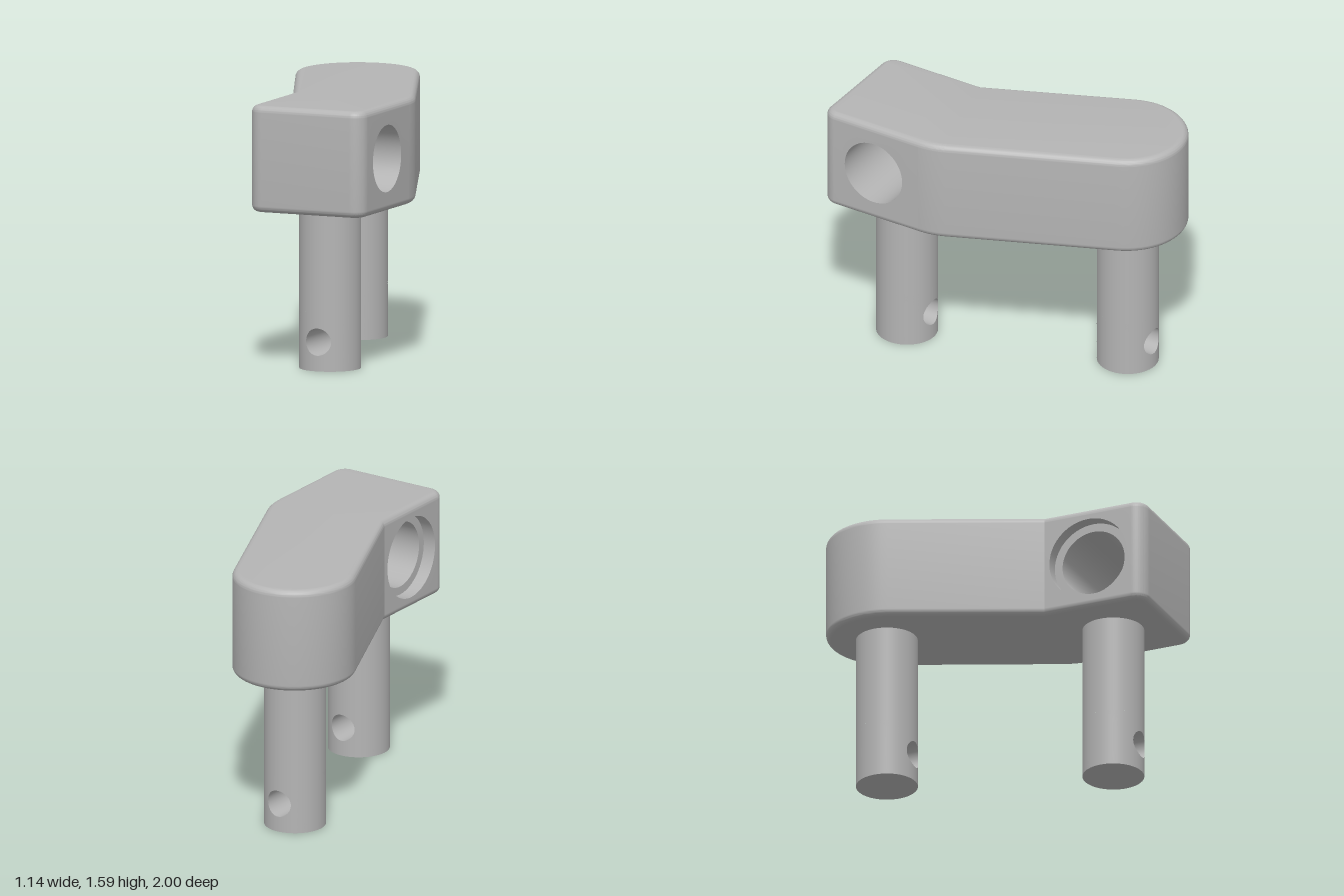
import * as THREE from 'three';
import { mergeGeometries, toCreasedNormals } from 'three/addons/utils/BufferGeometryUtils.js';
import { ParametricGeometry } from 'three/addons/geometries/ParametricGeometry.js';

const PI = Math.PI;
const metal = new THREE.MeshStandardMaterial({ color: 0xb4b4b4 });
metal.name = 'grey metal';

// Body dimensions
const X0 = -0.172, X1 = 0.57, Y0 = 0.95, Y1 = 1.585;
const FILLET = 0.04, CORNER = 0.085, BEND = 0.44, BEND_Z = 0.335, TILT = 0.405, INNER_Z = 0.36;
const BORE = { y: 1.267, z: 0.642, r: 0.2, counterR: 0.25, counterX: X0 + 0.08 };

function mesh(name, geometry) {
  const m = new THREE.Mesh(geometry, metal);
  m.name = name;
  return m;
}

function positionsOnly(geometry) {
  const g = geometry.index ? geometry.toNonIndexed() : geometry;
  return new THREE.BufferGeometry().setAttribute('position', g.attributes.position);
}

// Flat side wall between z0 and z1 with a round opening; side is +1 or -1
function sidePanel(x, z0, z1, r, side) {
  const a = -side * z0, b = -side * z1, lo = Y0 + FILLET, hi = Y1 - FILLET;
  const s = new THREE.Shape();
  s.moveTo(a, lo).lineTo(b, lo).lineTo(b, hi).lineTo(a, hi);
  const hole = new THREE.Path();
  hole.absarc(-side * BORE.z, BORE.y, r, 0, 2 * PI, true);
  s.holes.push(hole);
  return new THREE.ShapeGeometry(s, 36).rotateY(side * PI / 2).translate(x, 0, 0);
}

// Bent arm: filleted extrusion whose two flat walls are swapped for pierced panels
function bodyGeometry() {
  const s = new THREE.Shape();
  s.absarc(X1 - CORNER, -1 + CORNER, CORNER, -PI / 2, 0);
  s.absarc(X1 - BEND, -BEND_Z, BEND, 0, TILT);
  s.absarc(-0.205, 0.633, 0.367, TILT, PI + TILT);
  s.lineTo(X0, -INNER_Z);
  s.absarc(X0 + CORNER, -1 + CORNER, CORNER, PI, 1.5 * PI);
  const solid = new THREE.ExtrudeGeometry(s, {
    depth: Y1 - Y0 - 2 * FILLET, curveSegments: 16, bevelThickness: FILLET,
    bevelSize: FILLET, bevelOffset: -FILLET, bevelSegments: 10,
  }).rotateX(-PI / 2).translate(0, Y0 + FILLET, 0);

  const p = solid.attributes.position, kept = [];
  const onWall = (i, x) => [0, 1, 2].every(k => Math.abs(p.getX(i + k) - x) < 1e-5);
  for (let i = 0; i < p.count; i += 3) {
    if (onWall(i, X0) || onWall(i, X1)) continue;
    for (let k = 0; k < 3; k++) kept.push(p.getX(i + k), p.getY(i + k), p.getZ(i + k));
  }
  const shell = new THREE.BufferGeometry();
  shell.setAttribute('position', new THREE.Float32BufferAttribute(kept, 3));
  const panels = [
    sidePanel(X1, BEND_Z, 1 - CORNER, BORE.r, 1),
    sidePanel(X0, INNER_Z, 1 - CORNER, BORE.counterR, -1),
  ].map(positionsOnly);
  return toCreasedNormals(mergeGeometries([shell, ...panels]), 0.35);
}

// Cross bore with a shallow counterbore on the -x side
function boreGeometry() {
  const profile = [[BORE.r, X1], [BORE.r, BORE.counterX], [BORE.counterR, BORE.counterX], [BORE.counterR, X0]]
    .map(([r, x]) => new THREE.Vector2(r, x));
  const g = new THREE.LatheGeometry(profile, 72).rotateZ(-PI / 2).translate(0, BORE.y, BORE.z);
  return toCreasedNormals(g, 0.6);
}

// Round pin, drilled through along z near its lower end
function makePin(name, x, z) {
  const R = 0.183, r = 0.081, holeY = 0.174, band = 2 * holeY;
  const pin = new THREE.Group();
  pin.name = name;
  // Half of the drilled band, spreading from the hole edge to the band's border
  const drilledHalf = (u, v, out) => {
    const t = -2 * PI * u, c = Math.cos(t), s = Math.sin(t), m = Math.max(Math.abs(c), Math.abs(s));
    const angle = THREE.MathUtils.lerp(Math.asin(r * c / R), c / m * PI / 2, v);
    const y = holeY + THREE.MathUtils.lerp(r * s, s / m * holeY, v);
    out.set(R * Math.sin(angle), y, R * Math.cos(angle));
  };
  const drill = (u, v, out) => {
    const t = -2 * PI * u, px = r * Math.cos(t);
    out.set(px, holeY + r * Math.sin(t), (2 * v - 1) * Math.sqrt(R * R - px * px));
  };
  const top = Y0 + 0.02;
  pin.add(
    mesh('pinShaft', new THREE.CylinderGeometry(R, R, top - band, 72, 1, true).translate(0, (top + band) / 2, 0)),
    mesh('pinFrontBand', new ParametricGeometry(drilledHalf, 128, 12)),
    mesh('pinBackBand', new ParametricGeometry(drilledHalf, 128, 12).rotateY(PI)),
    mesh('pinCrossHole', new ParametricGeometry(drill, 128, 2)),
    mesh('pinEnd', new THREE.CircleGeometry(R, 72).rotateX(PI / 2)),
  );
  pin.position.set(x, 0, z);
  return pin;
}

export function createModel() {
  const model = new THREE.Group();
  model.name = 'bentArmWithPins';
  model.add(
    mesh('armBody', bodyGeometry()),
    mesh('armBore', boreGeometry()),
    makePin('frontPin', 0.2, 0.64),
    makePin('backPin', -0.213, -0.638),
  );
  return model;
}
